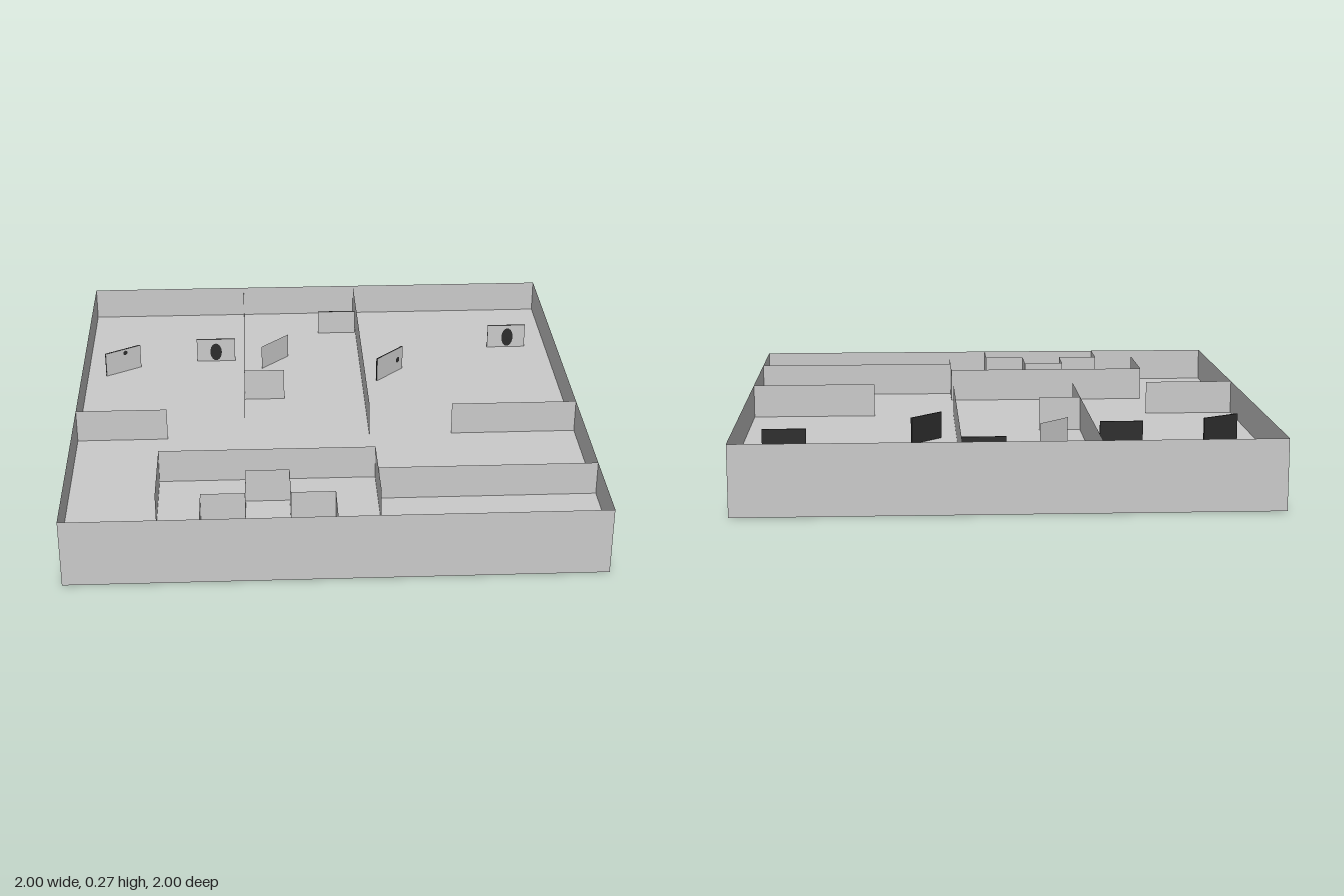
import * as THREE from 'three';

const TOP = 0.267, FLOOR = 0.133;

export function createModel() {
  const grey = new THREE.MeshStandardMaterial({ color: 0xcacaca, side: THREE.DoubleSide });
  grey.name = 'wall grey';
  const black = new THREE.MeshStandardMaterial({ color: 0x2c2c2c });
  black.name = 'panel black';
  const model = new THREE.Group();
  model.name = 'maze';

  // Floor sheet at half the height of the walls
  const floor = new THREE.Mesh(new THREE.PlaneGeometry(2, 2).rotateX(-Math.PI / 2), grey);
  floor.name = 'floor';
  floor.position.y = FLOOR;
  model.add(floor);

  // Upright sheet between two plan points
  function wall(name, x1, z1, x2, z2) {
    const mesh = new THREE.Mesh(new THREE.PlaneGeometry(Math.hypot(x2 - x1, z2 - z1), TOP), grey);
    mesh.name = name;
    mesh.position.set((x1 + x2) / 2, TOP / 2, (z1 + z2) / 2);
    mesh.rotation.y = Math.atan2(z1 - z2, x2 - x1);
    model.add(mesh);
  }

  // Walls as runs of plan corners [x, z, x, z, ...]
  const runs = {
    outerWall: [[-1, 1, 1, 1, 1, -1, -1, -1, -1, 1]],
    longWall: [[-0.33, 0.165, -0.33, -1], [0.17, 0.165, 0.17, -1]],
    stubWall: [[-0.33, -0.163, -0.165, -0.163], [-1, 0.165, -0.64, 0.165], [0.5, 0.165, 1, 0.165]],
    roomWall: [[-0.66, 0.83, -0.66, 0.5, 0.17, 0.5, 0.17, 0.83]],
    corridorWall: [[0.17, 0.66, 1, 0.66]],
    nicheWall: [[-0.495, 1, -0.495, 0.825, -0.33, 0.825, -0.33, 0.66, -0.163, 0.66,
      -0.163, 0.825, 0.003, 0.825, 0.003, 1]],
  };
  for (const [name, list] of Object.entries(runs))
    for (const p of list)
      for (let i = 0; i + 3 < p.length; i += 2) wall(name, p[i], p[i + 1], p[i + 2], p[i + 3]);

  // Small standing panels: x, z, turn, mark width, mark height, mark offset x, y
  const W = 0.165, H = 0.104, T = 0.006;
  const panels = [
    [-0.85, -0.44, Math.PI / 6, 0.02, 0.02, 0.01, 0.035],
    [-0.453, -0.525, 0, 0.05, 0.08, 0, -0.008],
    [0.083, -0.785, 0, 0, 0, 0, 0],
    [0.29, -0.362, Math.PI / 4, 0.022, 0.026, 0.05, 0],
    [0.825, -0.61, 0, 0.05, 0.085, 0.005, -0.005],
  ];
  for (const [x, z, turn, mw, mh, mx, my] of panels) {
    const panel = new THREE.Group();
    panel.name = 'panel';
    panel.position.set(x, FLOOR + H / 2 + 0.003, z);
    panel.rotation.y = turn;
    // Grey front, black back and edges
    const board = new THREE.Mesh(new THREE.BoxGeometry(W, H, T), [black, black, black, black, grey, black]);
    board.name = 'panelBoard';
    panel.add(board);
    if (mw) {
      const mark = new THREE.Mesh(new THREE.CircleGeometry(0.5, 20).scale(mw, mh, 1), black);
      mark.name = 'panelMark';
      mark.position.set(mx, my, T / 2 + 0.001);
      panel.add(mark);
    }
    model.add(panel);
  }

  // One plain panel, the same on both sides
  const plain = new THREE.Mesh(new THREE.PlaneGeometry(W, H), grey);
  plain.name = 'plainPanel';
  plain.position.set(-0.197, FLOOR + H / 2 + 0.003, -0.498);
  plain.rotation.y = Math.PI / 4;
  model.add(plain);

  return model;
}
